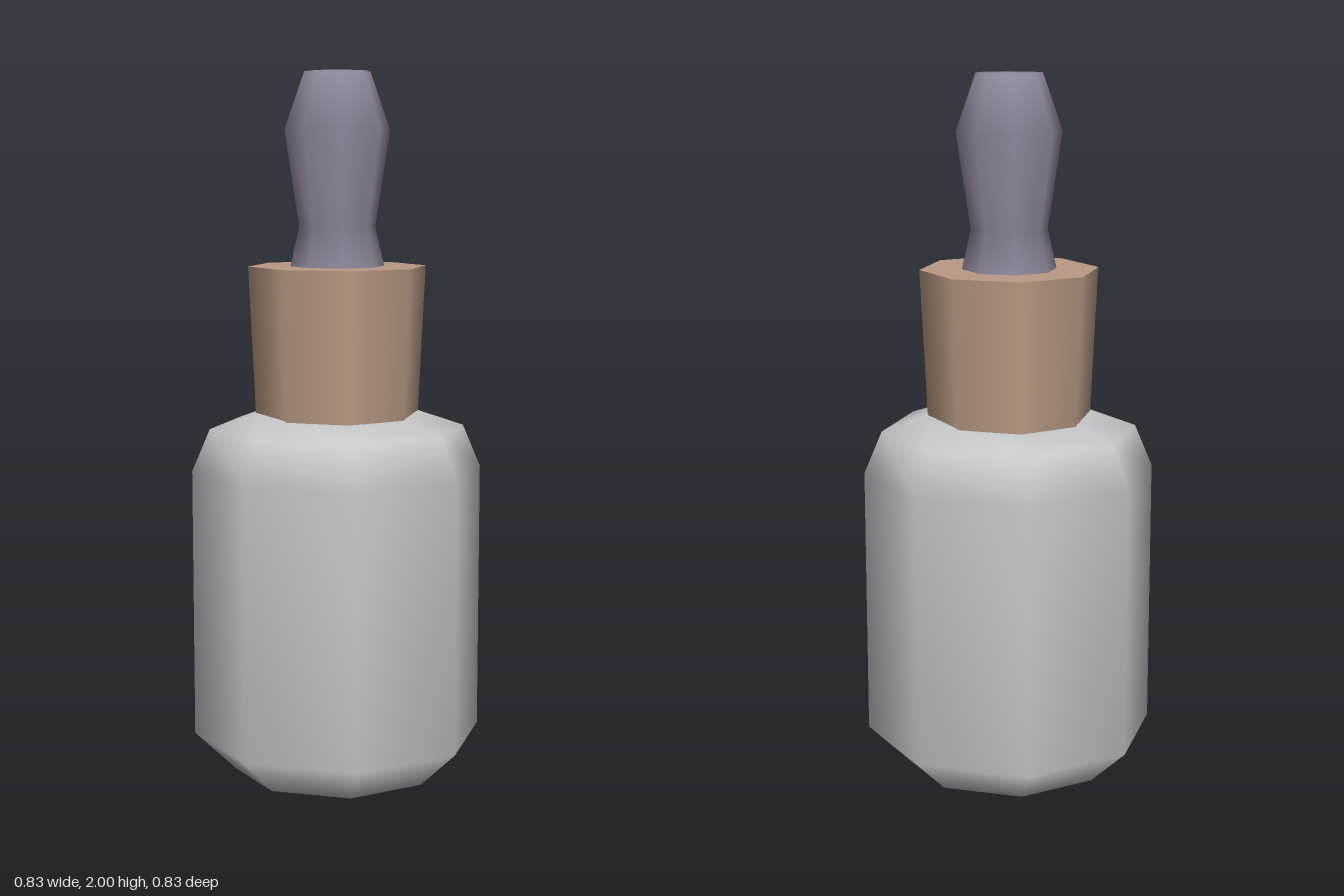
import * as THREE from 'three';

const SIDES = 8;

const glass = new THREE.MeshStandardMaterial({ name: 'pale grey glass', color: 0xc6c7c9 });
const cork = new THREE.MeshStandardMaterial({ name: 'tan cork', color: 0xb89a85 });
const rubber = new THREE.MeshStandardMaterial({ name: 'purple grey rubber', color: 0x8b8597 });

// Smooth eight-sided turned part from [radius, height] pairs, bottom to top
function turned(name, profile, material) {
  const points = profile.map(([r, y]) => new THREE.Vector2(r, y));
  const mesh = new THREE.Mesh(new THREE.LatheGeometry(points, SIDES), material);
  mesh.name = name;
  return mesh;
}

export function createModel() {
  const model = new THREE.Group();
  model.name = 'dropperBottle';

  // Bottle with bevelled base and sloped shoulders
  const bottle = turned('bottle', [
    [0, 0], [0.3, 0], [0.416, 0.11], [0.416, 0.88], [0.365, 1.0], [0.235, 1.045], [0, 1.045],
  ], glass);

  // Flaring stopper with flat ends, slightly deeper than wide
  const bottom = 1.04, top = 1.46;
  const stopper = new THREE.Mesh(
    new THREE.CylinderGeometry(0.253, 0.233, top - bottom, SIDES), cork);
  stopper.name = 'stopper';
  stopper.position.y = (bottom + top) / 2;
  stopper.scale.z = 1.09;

  // Squeeze bulb with a narrow waist
  const bulb = turned('bulb', [
    [0.135, 1.455], [0.108, 1.57], [0.149, 1.84], [0.093, 2.0], [0, 2.0],
  ], rubber);
  bulb.scale.z = 1.07;

  model.add(bottle, stopper, bulb);
  return model;
}
